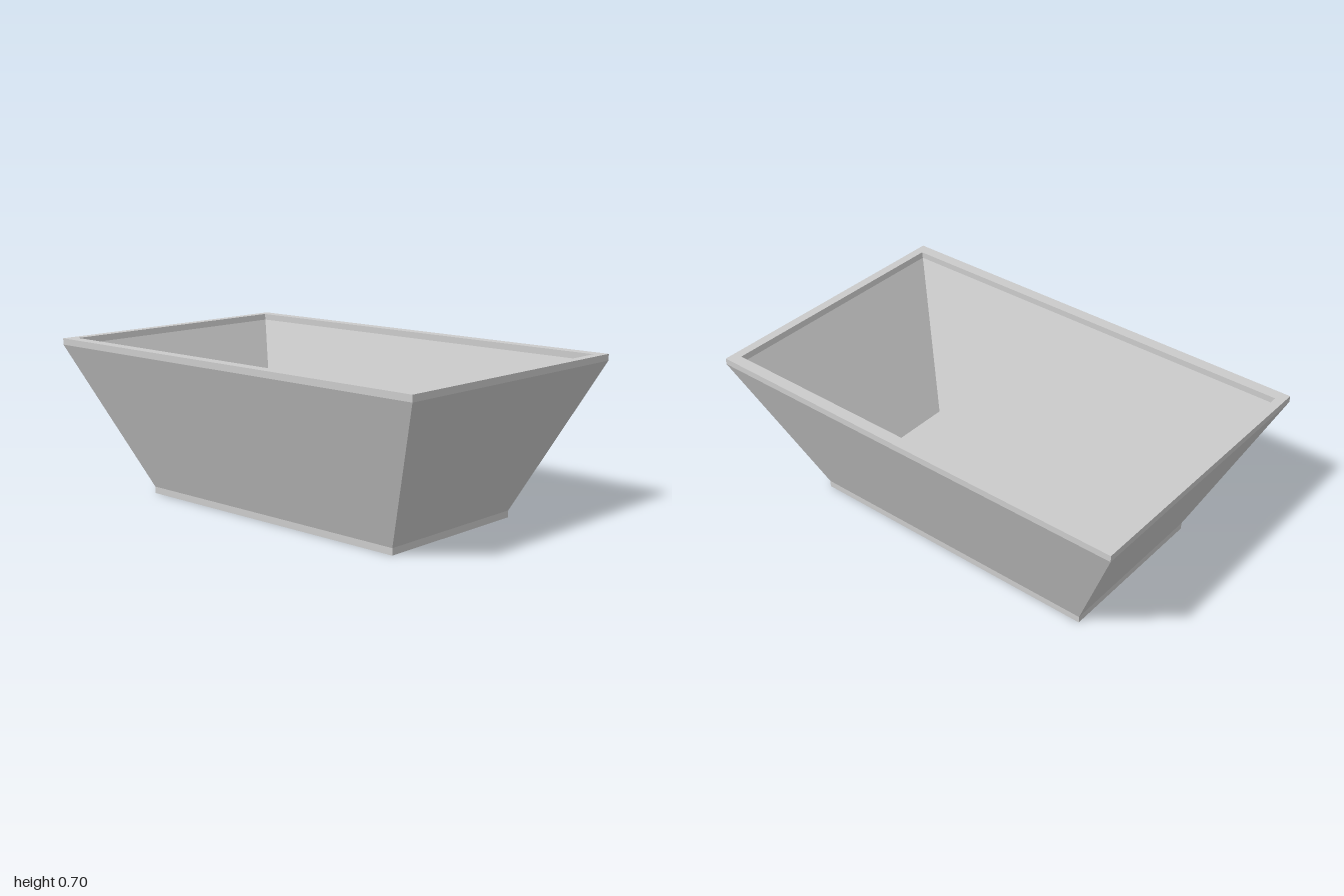
import * as THREE from 'three';

const material = new THREE.MeshStandardMaterial({ color: 0xcccccc, flatShading: true });

// Skins a sequence of rectangular sections [halfWidth, y, halfDepth].
function rectLoft(name, sections) {
  const corners = [[1, 1], [1, -1], [-1, -1], [-1, 1]];
  const point = ([w, y, d], i) => [corners[i % 4][0] * w, y, corners[i % 4][1] * d];
  const positions = [];
  for (let s = 0; s < sections.length - 1; s++) {
    for (let i = 0; i < 4; i++) {
      const a = point(sections[s], i), b = point(sections[s], i + 1);
      const c = point(sections[s + 1], i + 1), d = point(sections[s + 1], i);
      positions.push(...a, ...b, ...c, ...a, ...c, ...d);
    }
  }
  const geometry = new THREE.BufferGeometry();
  geometry.setAttribute('position', new THREE.Float32BufferAttribute(positions, 3));
  geometry.computeVertexNormals();
  const mesh = new THREE.Mesh(geometry, material);
  mesh.name = name;
  return mesh;
}

export function createModel() {
  const group = new THREE.Group();
  group.name = 'taperedTrough';
  const floorY = 0.03, rimY = 0.672, topY = 0.7;

  // Flat floor slab, whose edge forms the foot band
  const base = new THREE.Mesh(new THREE.BoxGeometry(0.752, floorY, 1.4), material);
  base.name = 'base';
  base.position.y = floorY / 2;
  group.add(base);

  // Sloping walls: up the outside, then down the inside
  group.add(rectLoft('outerWalls', [[0.376, floorY, 0.7], [0.63, rimY, 1]]));
  group.add(rectLoft('innerWalls', [[0.578, rimY, 0.957], [0.343, floorY, 0.67]]));

  // Upright rim: outer band, flat top, inner band
  group.add(rectLoft('rim', [
    [0.63, rimY, 1], [0.63, topY, 1], [0.578, topY, 0.96], [0.578, rimY, 0.957],
  ]));
  return group;
}
